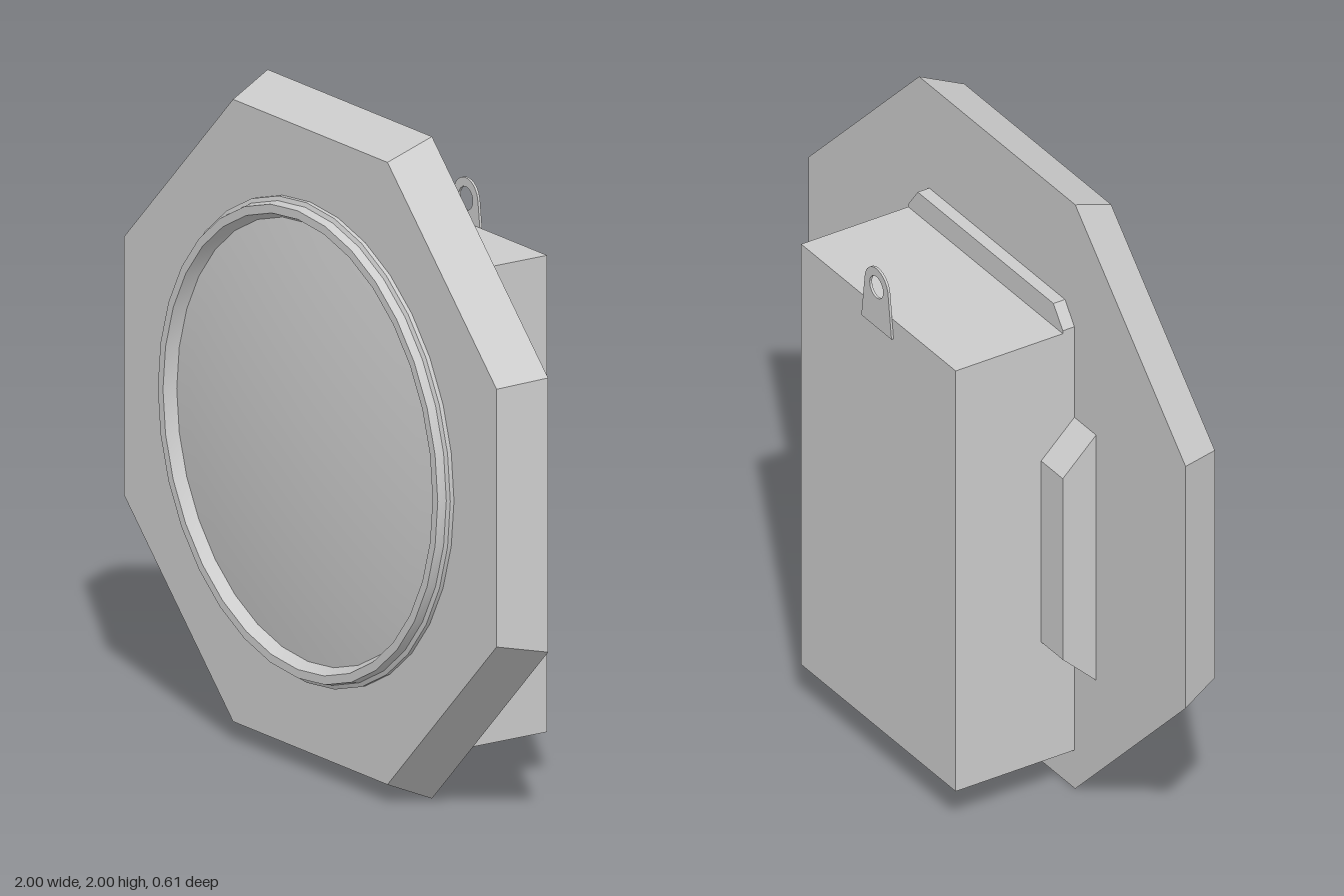
import * as THREE from 'three';
import { toCreasedNormals } from 'three/addons/utils/BufferGeometryUtils.js';

const CREASE = 0.3;

export function createModel() {
  const group = new THREE.Group();
  const grey = new THREE.MeshStandardMaterial({ color: 0xcccccc });
  grey.name = 'light grey';

  const add = (name, geometry, x = 0, y = 0, z = 0) => {
    const mesh = new THREE.Mesh(toCreasedNormals(geometry, CREASE), grey);
    mesh.name = name;
    mesh.position.set(x, y, z);
    group.add(mesh);
    return mesh;
  };
  const polygon = (points) => new THREE.Shape(points.map(([x, y]) => new THREE.Vector2(x, y)));
  const extrude = (shape, depth) =>
    new THREE.ExtrudeGeometry(shape, { depth, bevelEnabled: false, curveSegments: 8 });
  const lathe = (points) =>
    new THREE.LatheGeometry(points.map(([r, h]) => new THREE.Vector2(r, h)), 32).rotateX(Math.PI / 2);

  // Octagonal face board, tapering toward the front
  const corner = 1 / Math.cos(Math.PI / 8);
  const board = new THREE.CylinderGeometry(0.94 * corner, corner, 0.14, 8);
  board.rotateY(Math.PI / 8).rotateX(Math.PI / 2);
  add('octagonBoard', board, 0, 1, 0.18);

  // Stepped round bezel
  add('bezel', lathe([
    [0.725, 0.25], [0.725, 0.263], [0.712, 0.268], [0.706, 0.294],
    [0.68, 0.294], [0.662, 0.258],
  ]), 0, 1, 0);

  // Shallow domed glass
  const dome = [];
  for (let i = 0; i <= 8; i++) {
    const r = 0.666 * (1 - i / 8);
    dome.push([r, 0.304 - 0.105 * r * r]);
  }
  add('domedGlass', lathe(dome), 0, 1, 0);

  // Rear case
  add('rearCase', new THREE.BoxGeometry(0.82, 1.44, 0.41), 0, 0.85, -0.095);

  // Chamfered ledge above the case
  add('topLedge', extrude(polygon([
    [-0.41, 1.55], [0.41, 1.55], [0.41, 1.58], [0.36, 1.647], [-0.36, 1.647], [-0.41, 1.58],
  ]), 0.04), 0, 0, 0.07);

  // Tapered side blocks, one on each side of the case
  for (const [name, x] of [['leftSideBlock', 0.41], ['rightSideBlock', -0.525]]) {
    const profile = polygon([[-0.11, 0.43], [0.005, 0.54], [0.005, 1.16], [-0.11, 1.27]]);
    add(name, extrude(profile, 0.115).rotateY(Math.PI / 2), x);
  }

  // Hanging tab with a round hole
  const tab = new THREE.Shape();
  tab.moveTo(-0.08, 1.505);
  tab.lineTo(0.08, 1.505);
  tab.lineTo(0.062, 1.65);
  tab.absarc(0, 1.643, 0.062, 0.11, Math.PI - 0.11, false);
  tab.closePath();
  const hole = new THREE.Path();
  hole.absarc(0, 1.642, 0.036, 0, Math.PI * 2, true);
  tab.holes.push(hole);
  add('hangingTab', extrude(tab, 0.008), 0, 0, -0.307);

  return group;
}
